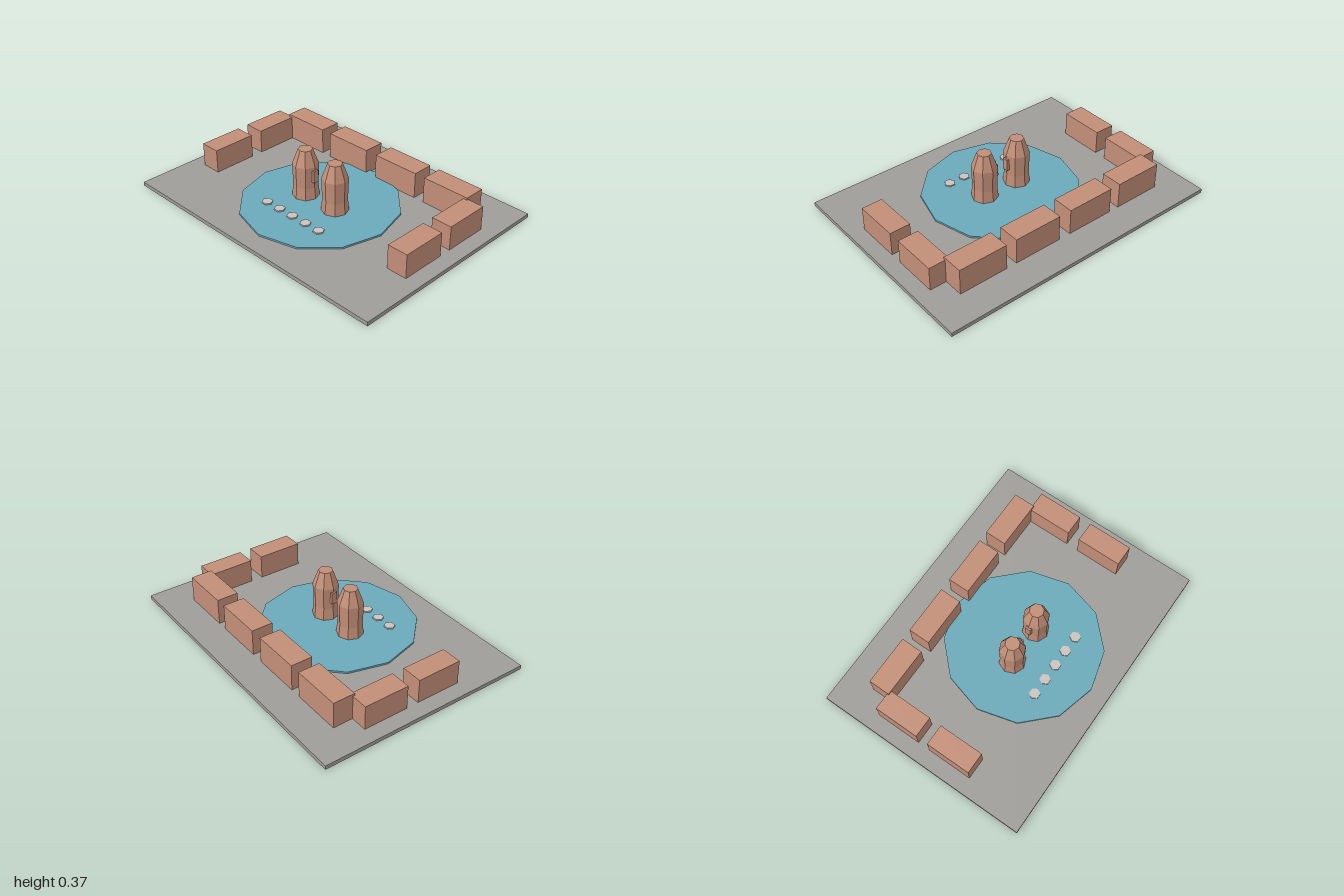
import * as THREE from 'three';

const flat = (name, color) => {
  const m = new THREE.MeshStandardMaterial({ color });
  m.name = name;
  m.flatShading = true;
  return m;
};

export function createModel() {
  const model = new THREE.Group();
  model.name = 'poolCourtyard';
  const stone = flat('pavingGrey', 0x9f9d98);
  const brick = flat('terracotta', 0xc28e77);
  const water = flat('waterBlue', 0x6aa9b9);
  const pale = flat('paleStone', 0xcac3bd);

  const add = (name, geometry, material, x, y, z, parent = model) => {
    const mesh = new THREE.Mesh(geometry, material);
    mesh.name = name;
    mesh.position.set(x, y, z);
    parent.add(mesh);
    return mesh;
  };

  // Ground slab and twelve-sided pool
  const ground = 0.027;
  add('groundSlab', new THREE.BoxGeometry(2, ground, 1.46), stone, 0, ground / 2, 0);
  add('pool', new THREE.CylinderGeometry(0.517, 0.517, 0.012, 12), water, 0, ground + 0.006, 0.092);

  // Row of four blocks along the back
  for (const x of [-0.617, -0.21, 0.21, 0.617]) {
    add('backBlock', new THREE.BoxGeometry(0.335, 0.177, 0.146), brick, x, ground + 0.0885, -0.447);
  }

  // Two blocks along each side
  for (const side of [-1, 1]) {
    for (const z of [-0.234, 0.153]) {
      add('sideBlock', new THREE.BoxGeometry(0.14, 0.162, 0.305), brick, side * 0.826, ground + 0.081, z);
    }
  }

  // Pair of eight-sided towers with tapered roofs and facing balconies
  const profile = [[0, 0.037], [0.088, 0.037], [0.08, 0.12], [0.085, 0.268], [0.047, 0.37], [0, 0.37]]
    .map(([r, y]) => new THREE.Vector2(r, y));
  for (const side of [-1, 1]) {
    const tower = new THREE.Group();
    tower.name = side > 0 ? 'leftTower' : 'rightTower';
    tower.position.set(side * 0.13, 0, 0.092);
    add('towerBody', new THREE.LatheGeometry(profile, 8), brick, 0, 0, 0, tower);
    add('balcony', new THREE.BoxGeometry(0.03, 0.08, 0.038), brick, -side * 0.08, 0.205, 0, tower);
    model.add(tower);
  }

  // Line of stepping stones
  for (let i = -2; i <= 2; i++) {
    const step = add('steppingStone', new THREE.CylinderGeometry(0.036, 0.036, 0.012, 6), pale, i * 0.115, 0.042, 0.333);
    step.rotation.y = Math.PI / 6;
  }
  return model;
}
